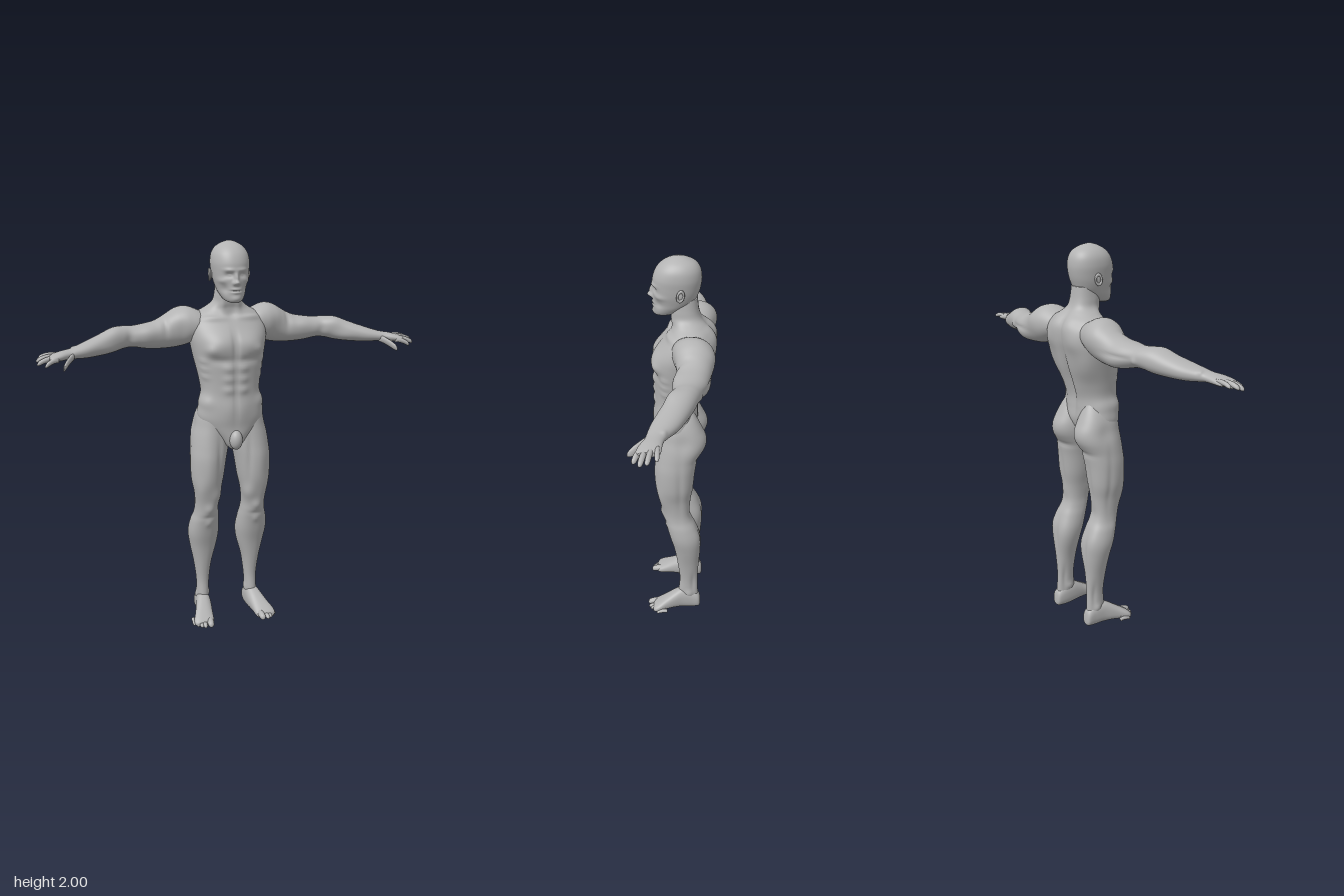
import * as THREE from 'three';

const skin = new THREE.MeshStandardMaterial({ color: 0xb3b3b3 });
skin.name = 'clay grey';

// Places ring coordinates (a, b) at station s along the chosen axis
const AXES = {
  x: (s, a, b) => [s, b, a],
  y: (s, a, b) => [a, s, b],
  z: (s, a, b) => [b, a, s],
};

// Smooth blend through the rows of a table
function sampleRows(rows, t) {
  const i = Math.min(Math.floor(t), rows.length - 2), f = t - i;
  const at = k => rows[Math.max(0, Math.min(rows.length - 1, k))];
  const [p, q, r, w] = [at(i - 1), at(i), at(i + 1), at(i + 2)];
  return q.map((v, k) => v + 0.5 * f * (r[k] - p[k]
    + f * (2 * p[k] - 5 * v + 4 * r[k] - w[k] + f * (3 * (v - r[k]) + w[k] - p[k]))));
}

// Skin over rounded cross-sections; each row is [station, aMin, aMax, bMin, bMax]
function loft(axis, rows, { seg = 40, steps = 5, power = 2.3 } = {}) {
  const place = AXES[axis], pos = [], index = [];
  const n = (rows.length - 1) * steps;
  const round = v => Math.sign(v) * Math.abs(v) ** (2 / power);
  for (let i = 0; i <= n; i++) {
    const [s, a0, a1, b0, b1] = sampleRows(rows, i / steps);
    for (let j = 0; j < seg; j++) {
      const th = (j / seg) * Math.PI * 2;
      pos.push(...place(s, (a0 + a1) / 2 + (a1 - a0) / 2 * round(Math.cos(th)),
        (b0 + b1) / 2 + (b1 - b0) / 2 * round(Math.sin(th))));
    }
  }
  for (const [s, a0, a1, b0, b1] of [rows[0], rows.at(-1)])
    pos.push(...place(s, (a0 + a1) / 2, (b0 + b1) / 2));
  const low = (n + 1) * seg, high = low + 1;
  for (let j = 0; j < seg; j++) {
    const k = (j + 1) % seg;
    for (let i = 0; i < n; i++) {
      const p = i * seg + j, q = i * seg + k;
      index.push(p, p + seg, q + seg, p, q + seg, q);
    }
    index.push(low, j, k, high, n * seg + k, n * seg + j);
  }
  const geo = new THREE.BufferGeometry();
  geo.setAttribute('position', new THREE.Float32BufferAttribute(pos, 3));
  geo.setIndex(index);
  geo.computeVertexNormals();
  return geo;
}

// Push soft muscle bumps (or grooves) along the normals, alike on both sides;
// each bump is [x, y, z, radiusX, radiusY, radiusZ, height]
function sculpt(geo, bumps) {
  const p = geo.attributes.position, nrm = geo.attributes.normal;
  for (let i = 0; i < p.count; i++) {
    const x = p.getX(i), y = p.getY(i), z = p.getZ(i);
    let d = 0;
    for (const [bx, by, bz, rx, ry, rz, h] of bumps)
      d += h * Math.exp(-(((Math.abs(x) - bx) / rx) ** 2) - ((y - by) / ry) ** 2 - ((z - bz) / rz) ** 2);
    p.setXYZ(i, x + nrm.getX(i) * d, y + nrm.getY(i) * d, z + nrm.getZ(i) * d);
  }
  geo.computeVertexNormals();
  return geo;
}

function mirrored(geo) {
  const g = geo.clone().scale(-1, 1, 1), ix = g.index.array;
  for (let i = 0; i < ix.length; i += 3) [ix[i + 1], ix[i + 2]] = [ix[i + 2], ix[i + 1]];
  g.computeVertexNormals();
  return g;
}

// Tapered finger or toe from base to tip, drooping by curl
function digit(axis, base, tip, r, curl) {
  const rows = [[0, 1], [0.3, 0.95], [0.6, 0.95], [0.85, 0.85], [0.96, 0.55], [1, 0.12]].map(([f, k]) => {
    const c = base.map((v, i) => v + (tip[i] - v) * f);
    c[1] += curl * f * (1 - f);
    const [s, a, b] = axis === 'x' ? [c[0], c[2], c[1]] : [c[2], c[1], c[0]];
    return [s, a - r * k, a + r * k, b - r * k, b + r * k];
  });
  return loft(axis, rows, { seg: 14, steps: 3, power: 2 });
}

const symmetric = rows => rows.map(([s, h, b, f]) => [s, -h, h, b, f]);

export function createModel() {
  const model = new THREE.Group();
  model.name = 'standing figure';
  const add = (name, geo) => {
    const mesh = new THREE.Mesh(geo, skin);
    mesh.name = name;
    model.add(mesh);
  };
  const pair = (name, geo) => {
    add('left ' + name, geo);
    add('right ' + name, mirrored(geo));
  };

  // Torso and neck: [y, half width, back z, front z]
  add('torso', sculpt(loft('y', symmetric([
    [0.965, 0.02, 0.06, 0.11], [0.99, 0.05, 0, 0.12], [1.03, 0.09, -0.05, 0.125],
    [1.08, 0.145, -0.075, 0.125], [1.13, 0.17, -0.09, 0.128], [1.19, 0.162, -0.087, 0.128],
    [1.25, 0.15, -0.088, 0.124], [1.32, 0.157, -0.11, 0.124], [1.4, 0.172, -0.142, 0.127],
    [1.48, 0.188, -0.162, 0.128], [1.54, 0.197, -0.172, 0.113], [1.6, 0.193, -0.168, 0.075],
    [1.64, 0.16, -0.148, 0.045], [1.67, 0.11, -0.124, 0.034], [1.7, 0.075, -0.104, 0.04],
    [1.74, 0.066, -0.092, 0.048], [1.8, 0.06, -0.085, 0.05],
  ]), { seg: 96, steps: 7 }), [
    [0.085, 1.5, 0.13, 0.07, 0.05, 0.06, 0.018],      // chest
    [0.12, 1.475, 0.12, 0.028, 0.024, 0.04, 0.012],
    [0.08, 1.425, 0.13, 0.08, 0.018, 0.05, -0.008],
    [0, 1.5, 0.13, 0.012, 0.08, 0.05, -0.012],
    [0, 1.28, 0.13, 0.01, 0.13, 0.05, -0.006],        // belly
    ...[1.385, 1.33, 1.275].map(y => [0.037, y, 0.125, 0.028, 0.021, 0.05, 0.009]),
    [0.03, 1.17, 0.125, 0.04, 0.06, 0.05, 0.006],
    [0.14, 1.21, 0.05, 0.03, 0.035, 0.08, 0.011],     // flanks
    ...[1.42, 1.38, 1.34].map(y => [0.15, y, 0.07, 0.03, 0.014, 0.03, 0.006]),
    [0.1, 1.625, 0.05, 0.08, 0.012, 0.04, 0.01],      // collarbones
    [0, 1.64, 0.04, 0.02, 0.02, 0.03, -0.008],
    [0.04, 1.69, 0.03, 0.015, 0.045, 0.04, 0.006],
    [0, 1.36, -0.14, 0.02, 0.22, 0.08, -0.02],        // back
    [0.045, 1.25, -0.1, 0.03, 0.12, 0.06, 0.009],
    [0.14, 1.45, -0.12, 0.05, 0.1, 0.06, 0.012],
    [0.1, 1.55, -0.17, 0.06, 0.06, 0.05, 0.012],
    [0.045, 1.62, -0.15, 0.04, 0.06, 0.05, 0.014],
  ]));
  add('groin', new THREE.SphereGeometry(1, 28, 20).scale(0.033, 0.05, 0.036).translate(0, 1.018, 0.124));

  // Head: [y, half width, back z, front z]
  add('head', sculpt(loft('y', symmetric([
    [1.708, 0.02, 0.07, 0.112], [1.72, 0.045, 0.02, 0.123], [1.75, 0.064, -0.03, 0.127],
    [1.78, 0.074, -0.07, 0.128], [1.82, 0.085, -0.09, 0.128], [1.86, 0.091, -0.101, 0.13],
    [1.9, 0.094, -0.105, 0.128], [1.94, 0.087, -0.098, 0.112], [1.97, 0.067, -0.077, 0.085],
    [1.99, 0.037, -0.04, 0.05], [2, 0.008, -0.005, 0.017],
  ]), { seg: 128, steps: 9, power: 2.15 }), [
    [0.034, 1.843, 0.125, 0.019, 0.012, 0.04, -0.014],  // eye sockets
    [0.034, 1.842, 0.12, 0.011, 0.006, 0.04, 0.006],
    [0.03, 1.868, 0.125, 0.03, 0.009, 0.04, 0.006],     // brow
    [0, 1.832, 0.13, 0.009, 0.022, 0.04, 0.016],        // nose
    [0, 1.808, 0.13, 0.013, 0.012, 0.04, 0.022],
    [0.012, 1.803, 0.13, 0.008, 0.008, 0.04, 0.006],
    [0.06, 1.815, 0.09, 0.02, 0.014, 0.04, 0.006],      // cheeks
    [0.052, 1.775, 0.1, 0.016, 0.022, 0.04, -0.007],
    [0, 1.775, 0.13, 0.022, 0.007, 0.04, 0.006],        // lips
    [0, 1.767, 0.13, 0.026, 0.004, 0.04, -0.006],
    [0, 1.759, 0.13, 0.018, 0.006, 0.04, 0.005],
    [0, 1.729, 0.125, 0.022, 0.014, 0.04, 0.007],       // chin
  ]));
  const ear = new THREE.TorusGeometry(0.018, 0.006, 10, 24).scale(0.85, 1.35, 1);
  pair('ear rim', ear.rotateY(Math.PI / 2 + 0.3).rotateX(-0.15).translate(0.097, 1.836, -0.008));
  pair('ear bowl', new THREE.SphereGeometry(1, 16, 12).scale(0.007, 0.024, 0.016).translate(0.091, 1.836, -0.006));

  // Arm and palm: [x, back z, front z, bottom y, top y]
  pair('arm', sculpt(loft('x', [
    [0.08, -0.12, -0.02, 1.56, 1.625], [0.14, -0.152, 0.025, 1.52, 1.655], [0.2, -0.17, 0.025, 1.49, 1.677],
    [0.25, -0.17, 0.008, 1.476, 1.671], [0.3, -0.165, 0, 1.471, 1.643], [0.36, -0.157, 0.003, 1.472, 1.612],
    [0.42, -0.147, 0.008, 1.478, 1.6], [0.48, -0.125, 0.01, 1.49, 1.594], [0.53, -0.113, 0.02, 1.488, 1.597],
    [0.58, -0.098, 0.036, 1.477, 1.594], [0.65, -0.069, 0.065, 1.47, 1.57], [0.72, -0.034, 0.09, 1.467, 1.546],
    [0.78, 0.008, 0.102, 1.471, 1.527], [0.81, 0.024, 0.107, 1.473, 1.52], [0.85, 0.03, 0.126, 1.47, 1.514],
    [0.89, 0.033, 0.138, 1.47, 1.503], [0.907, 0.042, 0.128, 1.475, 1.496],
  ], { seg: 56, steps: 6, power: 2.1 }), [
    [0.25, 1.62, -0.01, 0.05, 0.05, 0.05, 0.01],        // shoulder
    [0.25, 1.6, -0.16, 0.05, 0.05, 0.05, 0.008],
    [0.32, 1.6, 0, 0.014, 0.05, 0.06, -0.008],
    [0.4, 1.57, 0, 0.05, 0.035, 0.04, 0.009],           // upper arm
    [0.37, 1.5, -0.13, 0.06, 0.035, 0.05, 0.009],
    [0.4, 1.54, -0.16, 0.09, 0.009, 0.04, -0.006],
    [0.5, 1.54, 0.02, 0.022, 0.04, 0.04, -0.008],       // elbow
    [0.5, 1.53, -0.12, 0.014, 0.016, 0.03, 0.007],
    [0.57, 1.58, 0.01, 0.045, 0.03, 0.04, 0.007],       // forearm
    [0.61, 1.5, 0.04, 0.06, 0.025, 0.05, 0.006],
    [0.785, 1.52, 0.025, 0.012, 0.012, 0.015, 0.006],
  ]).translate(0, 0, 0));

  // Fingers and thumb: base, tip, radius, curl
  [['index finger', [0.865, 1.482, 0.12], [0.932, 1.457, 0.145], 0.0135, 0.03],
    ['middle finger', [0.875, 1.486, 0.098], [0.965, 1.464, 0.116], 0.0135, 0.03],
    ['ring finger', [0.875, 1.49, 0.073], [0.967, 1.474, 0.086], 0.013, 0.03],
    ['little finger', [0.865, 1.493, 0.048], [0.952, 1.483, 0.046], 0.0115, 0.03],
    ['thumb', [0.79, 1.49, 0.085], [0.853, 1.443, 0.172], 0.019, 0.02],
  ].forEach(([name, base, tip, r, curl]) => pair(name, digit('x', base, tip, r, curl)));

  // Leg and buttock: [y, inner x, outer x, back z, front z]
  pair('leg', sculpt(loft('y', [
    [0.06, 0.108, 0.168, -0.11, 0], [0.12, 0.104, 0.168, -0.106, -0.002], [0.2, 0.1, 0.168, -0.104, -0.007],
    [0.3, 0.088, 0.18, -0.109, 0.005], [0.4, 0.064, 0.2, -0.117, 0.022], [0.48, 0.053, 0.212, -0.112, 0.044],
    [0.55, 0.056, 0.205, -0.092, 0.062], [0.6, 0.063, 0.191, -0.071, 0.076], [0.65, 0.067, 0.187, -0.061, 0.084],
    [0.72, 0.06, 0.192, -0.063, 0.098], [0.8, 0.042, 0.208, -0.076, 0.113], [0.9, 0.026, 0.211, -0.086, 0.118],
    [0.97, 0.012, 0.205, -0.1, 0.114], [1.03, 0.004, 0.198, -0.127, 0.109], [1.08, 0.004, 0.186, -0.131, 0.104],
    [1.13, 0.008, 0.174, -0.115, 0.1], [1.18, 0.022, 0.152, -0.092, 0.092], [1.22, 0.04, 0.125, -0.07, 0.08],
  ], { seg: 64, steps: 6, power: 2.2 }), [
    [0.09, 1.06, -0.12, 0.06, 0.055, 0.06, 0.009],      // buttock
    [0.09, 0.965, -0.1, 0.07, 0.014, 0.05, -0.008],
    [0.19, 1.08, -0.03, 0.04, 0.06, 0.04, -0.007],
    [0.13, 0.87, 0.115, 0.03, 0.12, 0.04, 0.006],       // thigh
    [0.08, 0.93, 0.1, 0.012, 0.12, 0.05, -0.007],
    [0.083, 0.715, 0.08, 0.028, 0.045, 0.05, 0.011],
    [0.17, 0.74, 0.08, 0.025, 0.06, 0.05, 0.007],
    [0.2, 0.82, -0.01, 0.04, 0.16, 0.016, -0.006],
    [0.12, 0.8, -0.08, 0.012, 0.1, 0.04, -0.006],
    [0.127, 0.64, 0.085, 0.023, 0.026, 0.04, 0.01],     // knee
    [0.127, 0.59, 0.075, 0.035, 0.012, 0.04, -0.005],
    [0.128, 0.555, 0.06, 0.016, 0.018, 0.03, 0.006],
    [0.125, 0.63, -0.06, 0.03, 0.04, 0.03, -0.006],
    [0.08, 0.46, -0.09, 0.035, 0.07, 0.05, 0.008],      // calf
    [0.17, 0.49, -0.09, 0.03, 0.065, 0.05, 0.008],
    [0.127, 0.43, -0.12, 0.01, 0.08, 0.04, -0.007],
    [0.104, 0.12, -0.045, 0.015, 0.017, 0.02, 0.008],   // ankle
    [0.168, 0.105, -0.06, 0.015, 0.017, 0.02, 0.008],
    [0.16, 0.18, -0.08, 0.02, 0.07, 0.015, -0.007],
    [0.11, 0.18, -0.08, 0.02, 0.07, 0.015, -0.007],
  ]));

  // Foot: [z, bottom y, top y, inner x, outer x]
  pair('foot', loft('z', [
    [-0.12, 0.02, 0.05, 0.125, 0.152], [-0.11, 0.005, 0.09, 0.109, 0.168], [-0.07, 0, 0.118, 0.102, 0.173],
    [-0.02, 0.001, 0.126, 0.101, 0.18], [0.02, 0.003, 0.108, 0.104, 0.192], [0.06, 0.003, 0.083, 0.11, 0.206],
    [0.1, 0, 0.058, 0.115, 0.222], [0.125, 0.001, 0.042, 0.12, 0.222], [0.135, 0.008, 0.032, 0.13, 0.21],
  ], { seg: 40, steps: 5, power: 2.4 }));
  for (let i = 0; i < 5; i++) {
    const r = i ? 0.0135 - i * 0.0008 : 0.018;
    const x = i ? 0.152 + i * 0.0165 : 0.139;
    pair('toe ' + (i + 1), digit('z', [x, r + 0.008, 0.09 - i * 0.008],
      [x + 0.006, r, 0.168 - i * 0.003 - i * i * 0.0025], r, 0.02));
  }
  return model;
}
